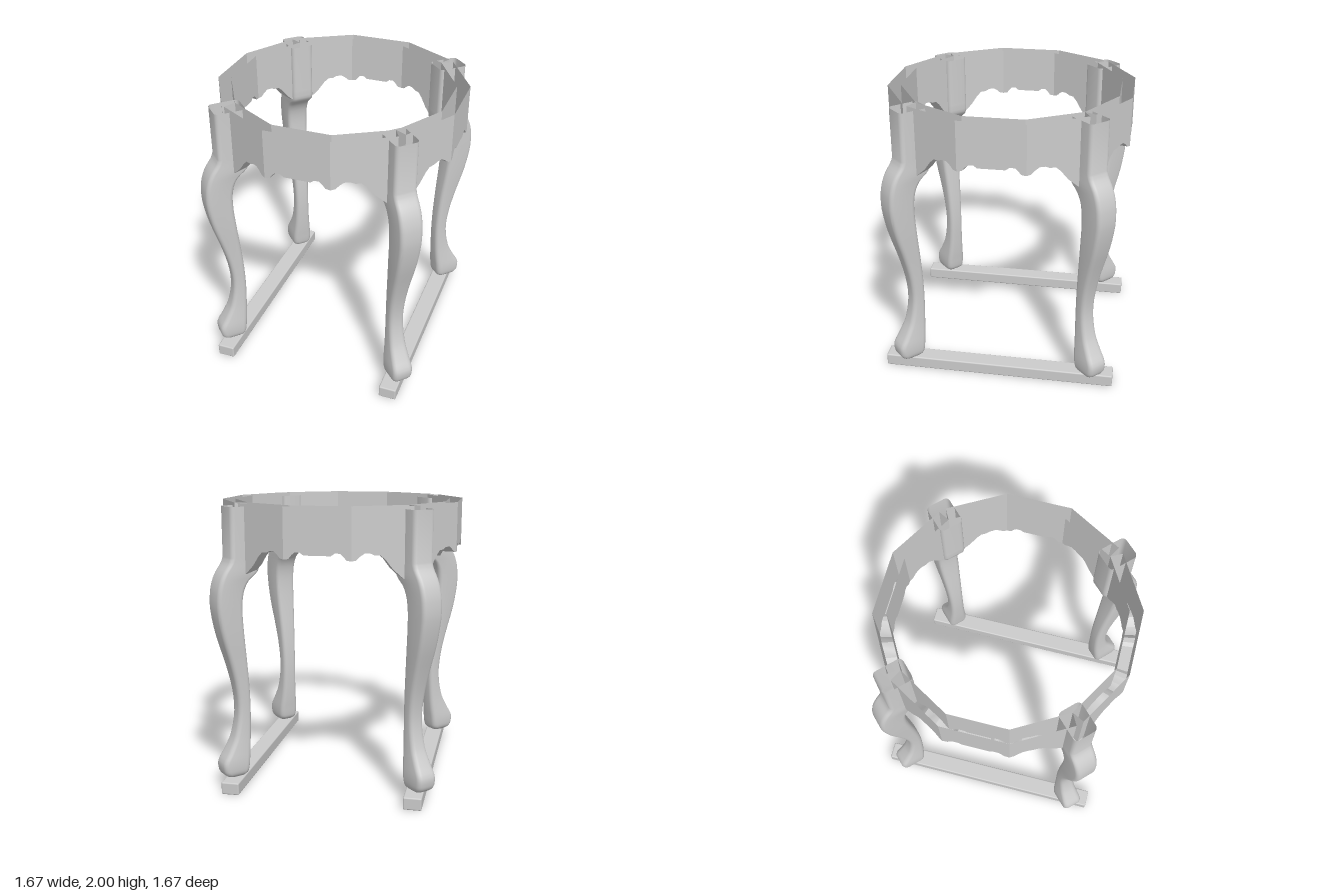
import * as THREE from 'three';
import { toCreasedNormals } from 'three/addons/utils/BufferGeometryUtils.js';
import { RoundedBoxGeometry } from 'three/addons/geometries/RoundedBoxGeometry.js';

// Legs and aprons are hollow and open at the top
const material = new THREE.MeshStandardMaterial({ color: 0xcccccc, side: THREE.DoubleSide });

// Skins equal-length sections; wrap closes each section, capEnd fills the last one.
function loft(sections, crease, wrap, capEnd) {
  const n = sections[0].length;
  const index = [];
  for (let i = 0; i < sections.length - 1; i++) {
    for (let j = 0; j < (wrap ? n : n - 1); j++) {
      const a = i * n + j, b = i * n + (j + 1) % n;
      index.push(a, a + n, b, b, a + n, b + n);
    }
  }
  const last = (sections.length - 1) * n;
  for (let j = 1; j < n - 1; j++) {
    index.push(0, j, j + 1);
    if (capEnd) index.push(last, last + j + 1, last + j);
  }
  const geometry = new THREE.BufferGeometry();
  geometry.setAttribute('position', new THREE.Float32BufferAttribute(sections.flat(2), 3));
  geometry.setIndex(index);
  return toCreasedNormals(geometry, crease);
}

// Leg sections: height, inner radius, outer radius, half width, corner radius.
const LEG = [
  [0.085, 0.87, 0.985, 0.05, 0.03],
  [0.105, 0.845, 1.015, 0.068, 0.035],
  [0.14, 0.835, 1.03, 0.075, 0.035],
  [0.2, 0.828, 1.03, 0.075, 0.035],
  [0.27, 0.82, 0.99, 0.069, 0.035],
  [0.38, 0.812, 0.935, 0.06, 0.032],
  [0.55, 0.806, 0.903, 0.055, 0.03],
  [0.72, 0.812, 0.915, 0.058, 0.03],
  [0.9, 0.828, 0.957, 0.065, 0.03],
  [1.1, 0.85, 1.015, 0.075, 0.03],
  [1.28, 0.862, 1.048, 0.08, 0.03],
  [1.4, 0.85, 1.046, 0.082, 0.03],
  [1.48, 0.81, 1.028, 0.083, 0.03],
  [1.54, 0.74, 1.0, 0.083, 0.03],
  [1.6, 0.73, 0.958, 0.083, 0.03],
  [1.64, 0.73, 0.942, 0.083, 0.03],
];

function legLoop([y, rIn, rOut, w, round]) {
  const loop = [];
  const mid = (rIn + rOut) / 2, half = (rOut - rIn) / 2;
  [[1, 1], [-1, 1], [-1, -1], [1, -1]].forEach(([sx, sz], corner) => {
    for (let k = 0; k <= 4; k++) {
      const a = (corner + k / 4) * Math.PI / 2;
      loop.push([
        mid + sx * (half - round) + round * Math.cos(a), y,
        sz * (w - round) + round * Math.sin(a),
      ]);
    }
  });
  return loop;
}

// Smooth curve through the sections, then the straight post above.
function legGeometry() {
  const end = LEG.length - 1;
  const rows = [];
  for (let i = 0; i < end; i++) {
    const p = [LEG[Math.max(i - 1, 0)], LEG[i], LEG[i + 1], LEG[Math.min(i + 2, end)]];
    for (let s = 0; s < 3; s++) {
      const t = s / 3;
      rows.push(p[1].map((v, k) => {
        if (k === 0) return THREE.MathUtils.lerp(v, p[2][0], t);
        const slope = (a, b) => (b[k] - a[k]) / (b[0] - a[0]) * (p[2][0] - p[1][0]);
        const m0 = slope(p[0], p[2]), m1 = slope(p[1], p[3]);
        const t2 = t * t, t3 = t2 * t;
        return (2 * t3 - 3 * t2 + 1) * v + (t3 - 2 * t2 + t) * m0
          + (3 * t2 - 2 * t3) * p[2][k] + (t3 - t2) * m1;
      }));
    }
  }
  const post = LEG[end];
  rows.push(post, [1.98, ...post.slice(1)]);
  return loft(rows.map(legLoop), 0.7, true, false);
}

// Scalloped lower edge of one apron, from its middle to its corner: x, y.
const EDGE = [
  [0, 1.69], [0.09, 1.69], [0.115, 1.708], [0.15, 1.708], [0.17, 1.69],
  [0.19, 1.665], [0.224, 1.66], [0.25, 1.665], [0.275, 1.69], [0.3, 1.707],
  [0.335, 1.705], [0.36, 1.692], [0.395, 1.69], [0.425, 1.66], [0.47, 1.595],
  [0.535, 1.53], [0.59, 1.525],
];

// Each apron covers a quarter of the twelve-sided ring; its ends are cut square.
function apronGeometry() {
  const bend = 0.224, innerBend = 0.201, top = 2;
  const depth = (x, apothem, start) =>
    apothem - Math.max(0, Math.abs(x) - start) * Math.tan(Math.PI / 6);
  const stations = [
    ...EDGE.slice(1).reverse().map(([x, y]) => [-x, y]),
    ...EDGE,
  ];
  const sections = stations.map(([x, y]) => {
    const beyond = Math.max(0, Math.abs(x) - bend);
    const xi = Math.sign(x) * (Math.min(Math.abs(x), bend) * innerBend / bend + beyond * 0.951);
    const z = depth(x, 0.837, bend), zi = depth(xi, 0.75, innerBend);
    return [[xi, top, zi], [xi, y, zi], [x, y, z], [x, top, z]];
  });
  return loft(sections, 0.4, false, true);
}

export function createModel() {
  const model = new THREE.Group();
  const add = (name, geometry) => {
    const mesh = new THREE.Mesh(geometry, material);
    mesh.name = name;
    model.add(mesh);
    return mesh;
  };

  const leg = legGeometry();
  const apron = apronGeometry();
  const legNames = ['backLeftLeg', 'backRightLeg', 'frontRightLeg', 'frontLeftLeg'];
  const apronNames = ['frontApron', 'leftApron', 'backApron', 'rightApron'];
  for (let i = 0; i < 4; i++) {
    add(legNames[i], leg).rotation.y = (i + 0.5) * Math.PI / 2;
    add(apronNames[i], apron).rotation.y = i * Math.PI / 2;
  }

  // Floor runners joining the front and back feet on each side
  const runner = new RoundedBoxGeometry(0.126, 0.088, 1.654, 2, 0.01);
  for (const side of [1, -1]) {
    add(side > 0 ? 'leftRunner' : 'rightRunner', runner).position.set(side * 0.636, 0.044, 0);
  }
  return model;
}
